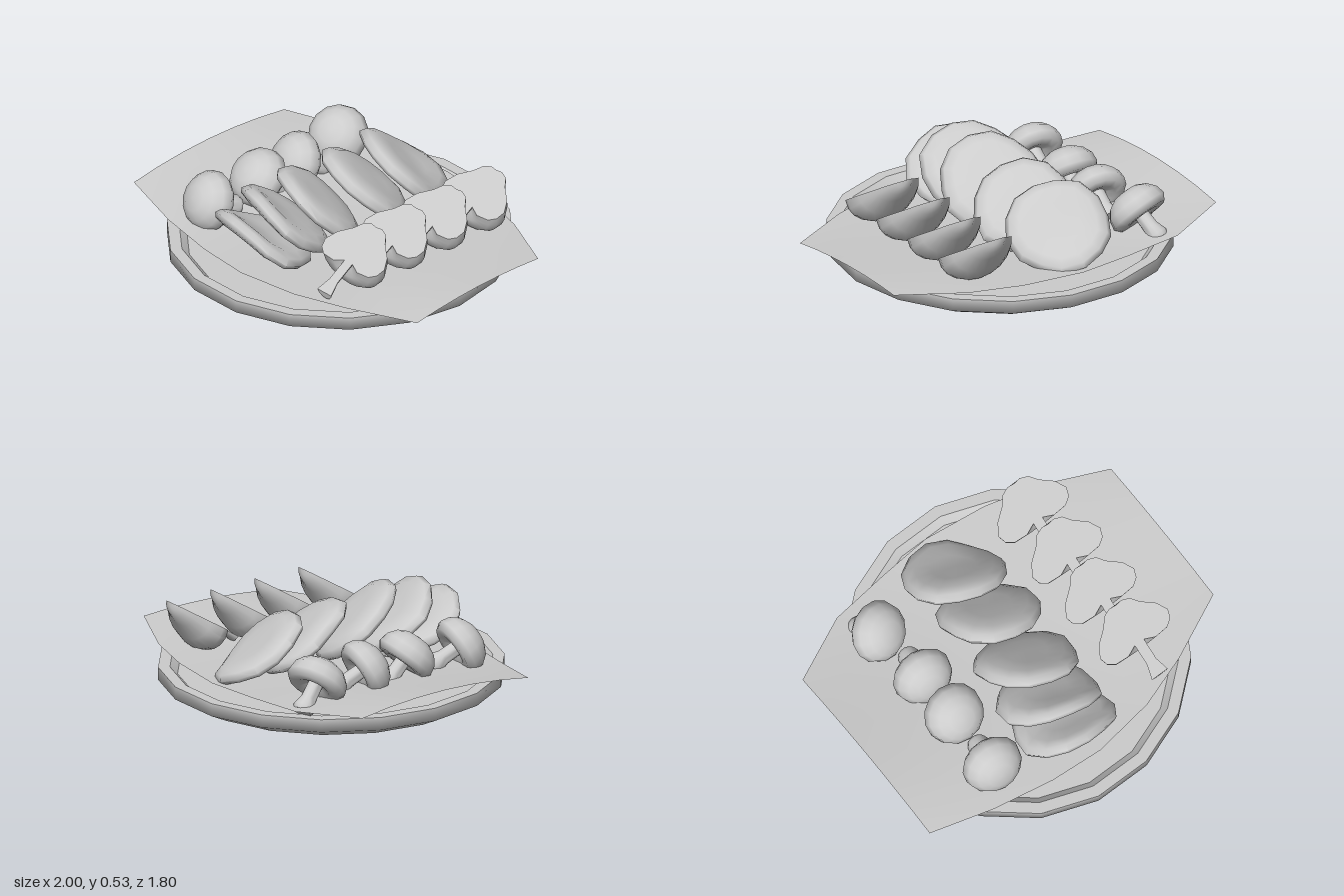
import * as THREE from 'three';
import { toCreasedNormals } from 'three/addons/utils/BufferGeometryUtils.js';

const material = new THREE.MeshStandardMaterial({ color: 0xcccccc });
const openMaterial = new THREE.MeshStandardMaterial({ color: 0xcccccc, side: THREE.DoubleSide });
const vec = (pairs) => pairs.map(([x, y]) => new THREE.Vector2(x, y));

function add(parent, name, geometry, mat = material) {
  const mesh = new THREE.Mesh(geometry, mat);
  mesh.name = name;
  parent.add(mesh);
  return mesh;
}

// Eighteen-sided shallow plate: flat base, soft outer wall, raised rim and floor
function addPlate(parent) {
  const ring = (pairs) => new THREE.LatheGeometry(vec(pairs), 18, Math.PI / 18);
  const plate = new THREE.Group();
  plate.name = 'plate';
  add(plate, 'plateBase', toCreasedNormals(ring([[0, 0], [0.8, 0]]), 0.4));
  add(plate, 'plateWall', ring([[0.8, 0], [0.912, 0.055], [0.912, 0.125]]));
  add(plate, 'plateTop', toCreasedNormals(ring([[0.912, 0.125], [0.85, 0.125], [0.81, 0.085], [0, 0.085]]), 0.4));
  parent.add(plate);
}

// Draped paper sheet: each column is x, back z, front z, back y, middle y, front y
function makeSheet() {
  const columns = [
    [-1, -0.54, 0.54, 0.21, 0.252, 0.203],
    [-0.64, -0.71, 0.63, 0.18, 0.192, 0.165],
    [-0.3, -0.75, 0.69, 0.17, 0.148, 0.155],
    [0, -0.775, 0.71, 0.165, 0.132, 0.15],
    [0.35, -0.73, 0.66, 0.165, 0.145, 0.15],
    [0.64, -0.65, 0.56, 0.17, 0.167, 0.15],
    [1, -0.48, 0.39, 0.185, 0.19, 0.145],
  ];
  const rows = 6;
  const positions = [];
  const index = [];
  columns.forEach(([x, zb, zf, yb, ym, yf], i) => {
    for (let j = 0; j <= rows; j++) {
      const t = j / rows;
      const y = yb * (1 - t) * (1 - 2 * t) + ym * 4 * t * (1 - t) + yf * t * (2 * t - 1);
      positions.push(x, y, zb + (zf - zb) * t);
      if (i && j) {
        const d = i * (rows + 1) + j;
        const b = d - rows - 1;
        index.push(b - 1, b, d, b - 1, d, d - 1);
      }
    }
  });
  const geometry = new THREE.BufferGeometry();
  geometry.setAttribute('position', new THREE.Float32BufferAttribute(positions, 3));
  geometry.setIndex(index);
  geometry.computeVertexNormals();
  return geometry;
}

// Thick soft-edged slice, slightly uneven and curled
function makeSlice(seed) {
  const profile = [[0, -0.03], [0.13, -0.035], [0.22, -0.04], [0.265, -0.025], [0.28, 0], [0.26, 0.03], [0.21, 0.042], [0.12, 0.03], [0, 0.028]];
  const geometry = new THREE.LatheGeometry(vec(profile), 14);
  const p = geometry.attributes.position;
  for (let i = 0; i < p.count; i++) {
    const x = p.getX(i), z = p.getZ(i);
    const angle = Math.atan2(z, x);
    const s = 1 + 0.03 * Math.sin(3 * angle + seed * 1.7) + 0.02 * Math.cos(5 * angle + seed);
    p.setXYZ(i, x * s, p.getY(i) - 0.45 * x * x + 0.018 * Math.sin(z * 9 + seed), z * s);
  }
  return toCreasedNormals(geometry, 1.2);
}

// Whole mushroom with a domed cap and a flared stem, standing along +y
function makeMushroom() {
  const profile = [
    [0, -0.18], [0.05, -0.18], [0.06, -0.155], [0.042, -0.1], [0.04, -0.01], [0.09, -0.035],
    [0.14, -0.035], [0.165, 0], [0.155, 0.05], [0.12, 0.095], [0.07, 0.122], [0, 0.13],
  ];
  return toCreasedNormals(new THREE.LatheGeometry(vec(profile), 14), 1);
}

const HALF_TILT = 0.576;

// Halved mushroom: flat cut face at z = 0, with a body that sags downward once tilted
function addHalfMushroom(parent) {
  const profile = [
    [0, -0.262], [0.052, -0.262], [0.03, -0.18], [0.03, -0.055], [0.09, -0.083], [0.17, -0.077],
    [0.21, -0.048], [0.225, 0], [0.19, 0.065], [0.12, 0.125], [0.085, 0.172], [0.04, 0.19], [0, 0.185],
  ];
  const body = new THREE.LatheGeometry(vec(profile), 10, Math.PI / 2, Math.PI);
  const p = body.attributes.position;
  for (let i = 0; i < p.count; i++) {
    const depth = p.getZ(i) * 0.7;
    p.setY(i, p.getY(i) + depth * 0.55 * Math.tan(HALF_TILT));
    p.setZ(i, depth);
  }
  add(parent, 'halfMushroomBody', toCreasedNormals(body, 0.9));
  const mirrored = profile.slice(1, -1).reverse().map(([x, y]) => [-x, y]);
  add(parent, 'halfMushroomCutFace', new THREE.ShapeGeometry(new THREE.Shape(vec([...profile, ...mirrored]))));
}

export function createModel() {
  const model = new THREE.Group();
  model.name = 'vegetablePlatter';
  addPlate(model);
  add(model, 'paperSheet', makeSheet(), openMaterial);

  // Overlapping slices down the middle: x, y, z, tilt, sideways lean
  [
    [-0.03, 0.32, -0.5, -0.5, -0.33],
    [-0.02, 0.325, -0.21, -0.56, -0.33],
    [-0.03, 0.34, 0.12, -0.7, -0.34],
    [-0.06, 0.32, 0.33, -0.73, -0.25],
    [-0.07, 0.265, 0.47, -0.55, -0.15],
  ].forEach(([x, y, z, tilt, lean], i) => {
    const slice = add(model, 'slice', makeSlice(i));
    slice.position.set(x, y, z);
    slice.rotation.set(tilt, 0, lean);
  });

  // Whole mushrooms on the right side, caps leaning forward: x, y, z, tilt, sideways lean
  [
    [-0.54, 0.265, -0.5, 0.8, -0.25],
    [-0.5, 0.255, -0.17, 1.1, 0.15],
    [-0.505, 0.265, 0.105, 0.75, 0.05],
    [-0.515, 0.255, 0.44, 1.1, 0.15],
  ].forEach(([x, y, z, tilt, lean]) => {
    const mushroom = add(model, 'wholeMushroom', makeMushroom());
    mushroom.position.set(x, y, z);
    mushroom.rotation.set(tilt, 0, lean);
  });

  // Halved mushrooms on the left side, cut faces up and stems resting at the front
  for (let i = 0; i < 4; i++) {
    const half = new THREE.Group();
    half.name = 'halfMushroom';
    addHalfMushroom(half);
    half.position.set(0.495, 0.335, -0.5 + i * 0.287);
    half.rotation.x = HALF_TILT - Math.PI / 2;
    model.add(half);
  }
  return model;
}
